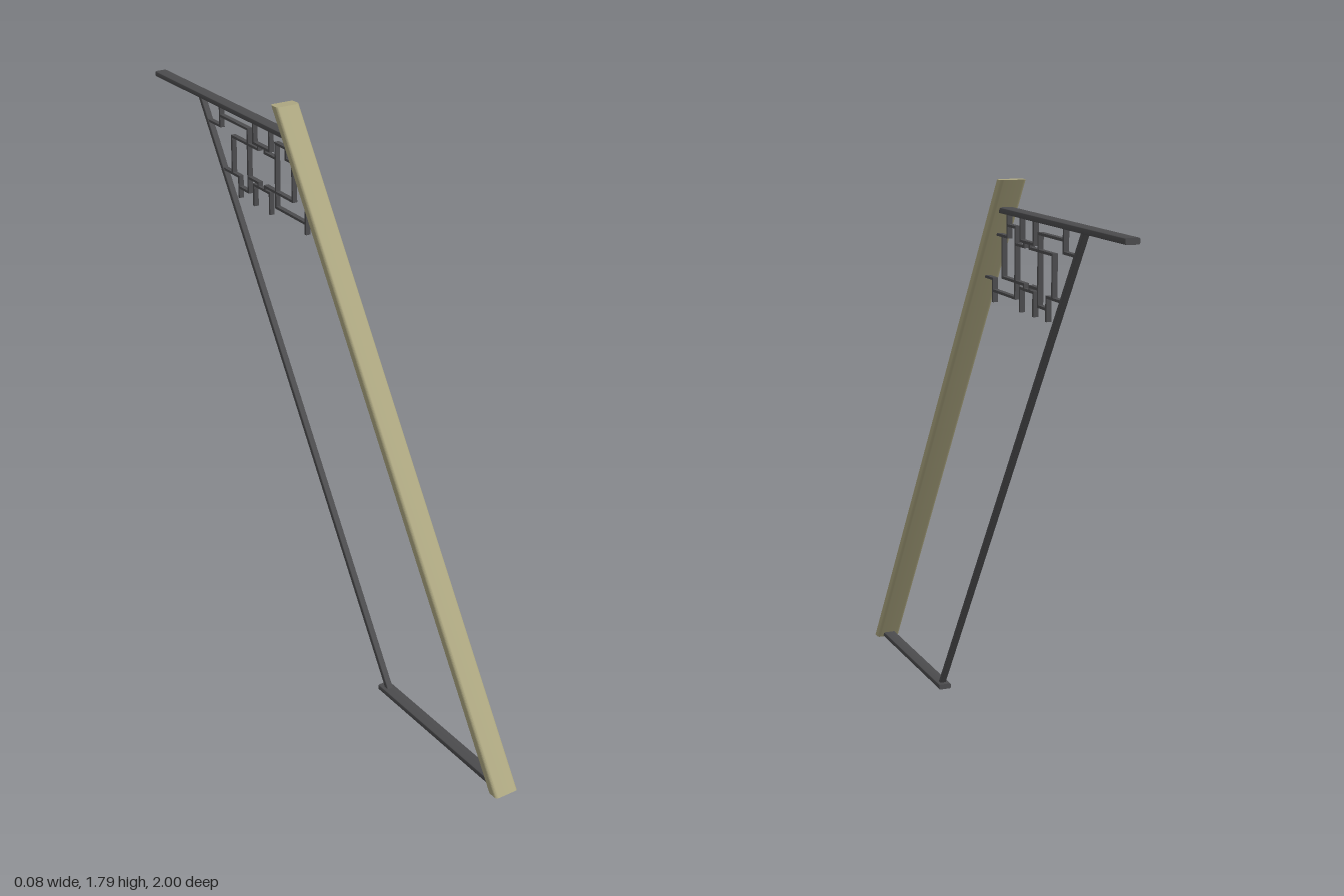
import * as THREE from 'three';
import { toCreasedNormals } from 'three/addons/utils/BufferGeometryUtils.js';

const olive = new THREE.MeshStandardMaterial({ color: 0xaca680 });
olive.name = 'olive paint';
const iron = new THREE.MeshStandardMaterial({ color: 0x4c4c4e });
iron.name = 'dark iron';

// Rounded rectangle section, extruded along z
function roundedBar(w, t, r, length) {
  const a = w / 2, b = t / 2;
  const s = new THREE.Shape();
  s.moveTo(-a + r, -b);
  s.lineTo(a - r, -b);
  s.quadraticCurveTo(a, -b, a, -b + r);
  s.lineTo(a, b - r);
  s.quadraticCurveTo(a, b, a - r, b);
  s.lineTo(-a + r, b);
  s.quadraticCurveTo(-a, b, -a, b - r);
  s.lineTo(-a, -b + r);
  s.quadraticCurveTo(-a, -b, -a + r, -b);
  return new THREE.ExtrudeGeometry(s, { depth: length, bevelEnabled: false, curveSegments: 4 });
}

function add(parent, name, geometry, material) {
  const mesh = new THREE.Mesh(geometry, material);
  mesh.name = name;
  parent.add(mesh);
  return mesh;
}

// Leaning member with level cuts, from (z0, y0) up to (z1, y1)
function leaning(w, t, r, z0, y0, z1, y1) {
  const g = roundedBar(w, t, r, y1 - y0);
  g.rotateX(-Math.PI / 2);
  const p = g.attributes.position;
  const k = (z1 - z0) / (y1 - y0);
  for (let i = 0; i < p.count; i++) {
    p.setZ(i, p.getZ(i) + z0 + k * p.getY(i));
    p.setY(i, p.getY(i) + y0);
  }
  return toCreasedNormals(g, 0.6);
}

// Level bar between two z positions
function level(w, t, r, zBack, zFront, y) {
  const g = roundedBar(w, t, r, zFront - zBack);
  g.translate(0, y, zBack);
  return toCreasedNormals(g, 0.6);
}

export function createModel() {
  const model = new THREE.Group();
  model.name = 'leaningFrame';

  // Main frame
  add(model, 'frontPost', leaning(0.08, 0.04, 0.01, 0.98, 0, -0.208, 1.79), olive);
  add(model, 'rearRod', leaning(0.02, 0.02, 0.004, 0.395, 0.012, -0.722, 1.692), iron);
  add(model, 'topBar', level(0.042, 0.018, 0.005, -1, -0.145, 1.697), iron);
  add(model, 'baseBar', level(0.042, 0.018, 0.005, 0.362, 0.965, 0.011), iron);

  // Angular lattice, each strip a path of [z, y] points
  const lattice = new THREE.Group();
  lattice.name = 'lattice';
  model.add(lattice);
  const paths = [
    [[-0.1, 1.62], [-0.196, 1.62], [-0.196, 1.692]],
    [[-0.292, 1.692], [-0.292, 1.62], [-0.388, 1.62], [-0.388, 1.692]],
    [[-0.594, 1.692], [-0.594, 1.62], [-0.675, 1.62]],
    [[-0.196, 1.655], [-0.255, 1.655], [-0.255, 1.447], [-0.083, 1.447]],
    [[-0.015, 1.482], [-0.083, 1.482], [-0.083, 1.415]],
    [[-0.594, 1.655], [-0.422, 1.655], [-0.422, 1.447], [-0.48, 1.447]],
    [[-0.58, 1.482], [-0.48, 1.482], [-0.48, 1.415]],
    [[-0.292, 1.415], [-0.292, 1.482], [-0.388, 1.482], [-0.388, 1.415]],
    [[-0.158, 1.62], [-0.158, 1.496], [-0.32, 1.496], [-0.32, 1.482]],
    [[-0.36, 1.482], [-0.36, 1.496], [-0.422, 1.496]],
    [[-0.255, 1.606], [-0.32, 1.606], [-0.32, 1.62]],
    [[-0.36, 1.62], [-0.36, 1.606], [-0.52, 1.606], [-0.52, 1.482]],
  ];
  const thick = 0.008;
  for (const path of paths) {
    for (let i = 1; i < path.length; i++) {
      const [z0, y0] = path[i - 1], [z1, y1] = path[i];
      const g = new THREE.BoxGeometry(0.016, Math.abs(y1 - y0) + thick, Math.abs(z1 - z0) + thick);
      g.translate(0, (y0 + y1) / 2, (z0 + z1) / 2);
      add(lattice, 'latticeStrip', g, iron);
    }
  }
  return model;
}
